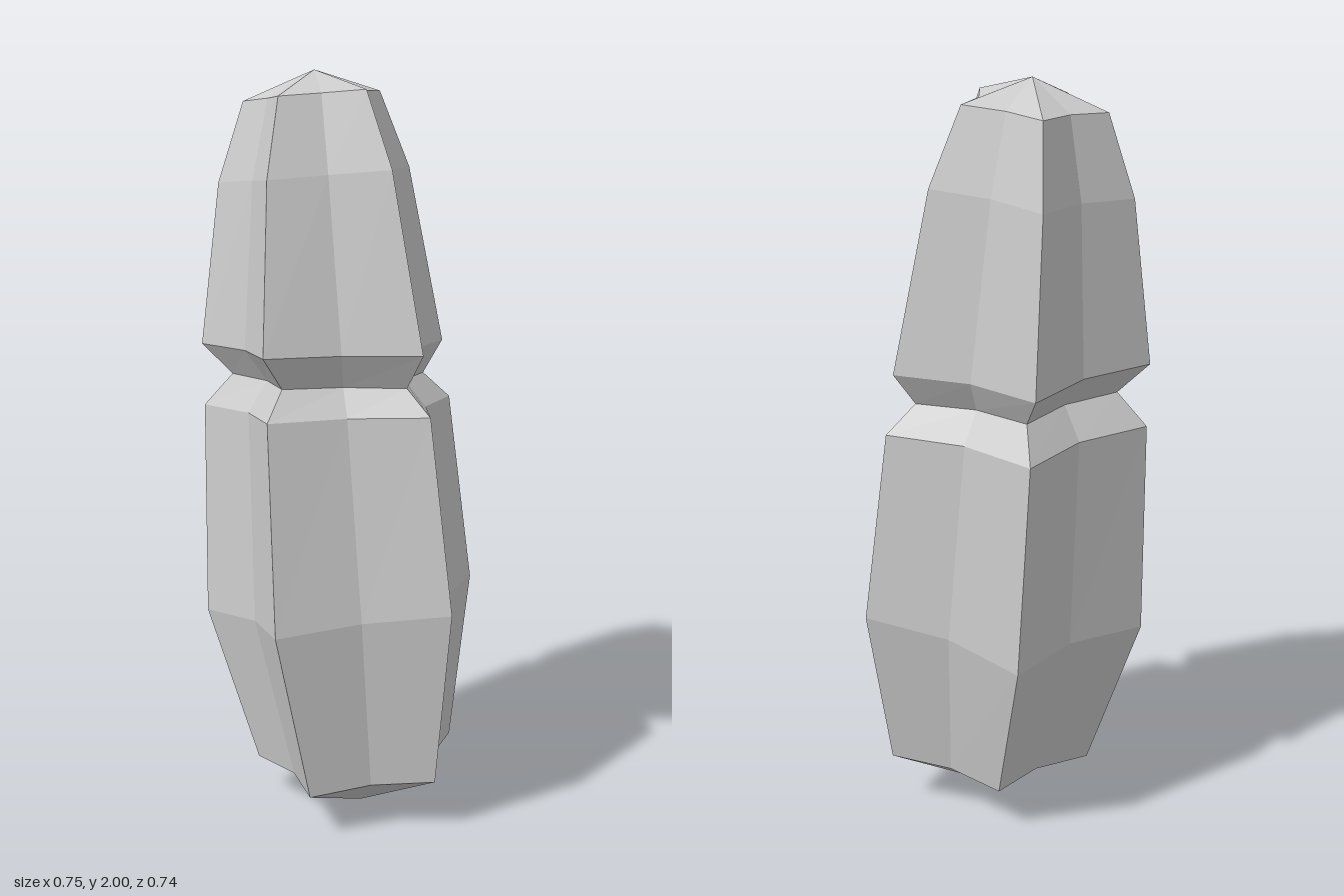
import * as THREE from 'three';

// Star-shaped rings from bottom to top: centre x, y, z, tip radius, tilt along x, tilt along z
const RINGS = [
  [0.04, 0.0, 0, 0, 0, 0],
  [0.033, 0.127, 0, 0.287, 0.06, -0.035],
  [-0.018, 0.572, 0.003, 0.392, 0.15, 0],
  [-0.072, 1.116, 0, 0.357, 0.08, 0.052],
  [-0.075, 1.194, 0, 0.276, 0.05, 0.065],
  [-0.085, 1.279, 0.006, 0.348, 0.067, 0.06],
  [-0.13, 1.73, 0, 0.271, 0.12, 0],
  [-0.15, 1.935, -0.005, 0.192, 0.12, 0],
  [-0.152, 2.0, -0.006, 0, 0, 0],
];
const SIDES = 10;      // five tips and five valleys
const VALLEY = 0.7;    // valley radius relative to tip radius
const TWIST = -0.045;

// Corner i of a tilted star ring
function corner([cx, cy, cz, r, tiltX, tiltZ], i) {
  const k = i % SIDES;
  const a = (k / SIDES) * Math.PI * 2 + TWIST;
  const rad = k % 2 ? r * VALLEY : r;
  const dx = rad * Math.cos(a);
  const dz = rad * Math.sin(a);
  return [cx + dx, cy + dx * tiltX + dz * tiltZ, cz + dz];
}

// Skin consecutive rings; a ring of radius 0 closes to a point
function loft(rings) {
  const pos = [];
  for (let j = 0; j < rings.length - 1; j++) {
    const low = rings[j], high = rings[j + 1];
    for (let i = 0; i < SIDES; i++) {
      const a = corner(low, i), b = corner(low, i + 1);
      const c = corner(high, i), d = corner(high, i + 1);
      if (low[3] > 0) pos.push(...a, ...c, ...b);
      if (high[3] > 0) pos.push(...b, ...c, ...d);
    }
  }
  const geo = new THREE.BufferGeometry();
  geo.setAttribute('position', new THREE.Float32BufferAttribute(pos, 3));
  geo.computeVertexNormals();
  return geo;
}

export function createModel() {
  const group = new THREE.Group();
  group.name = 'cactusStem';
  const material = new THREE.MeshStandardMaterial({ color: 0xcccccc, flatShading: true });

  // Two ribbed segments meeting at the pinched waist
  const parts = { lowerSegment: RINGS.slice(0, 5), upperSegment: RINGS.slice(4) };
  for (const [name, rings] of Object.entries(parts)) {
    const mesh = new THREE.Mesh(loft(rings), material);
    mesh.name = name;
    group.add(mesh);
  }
  return group;
}
